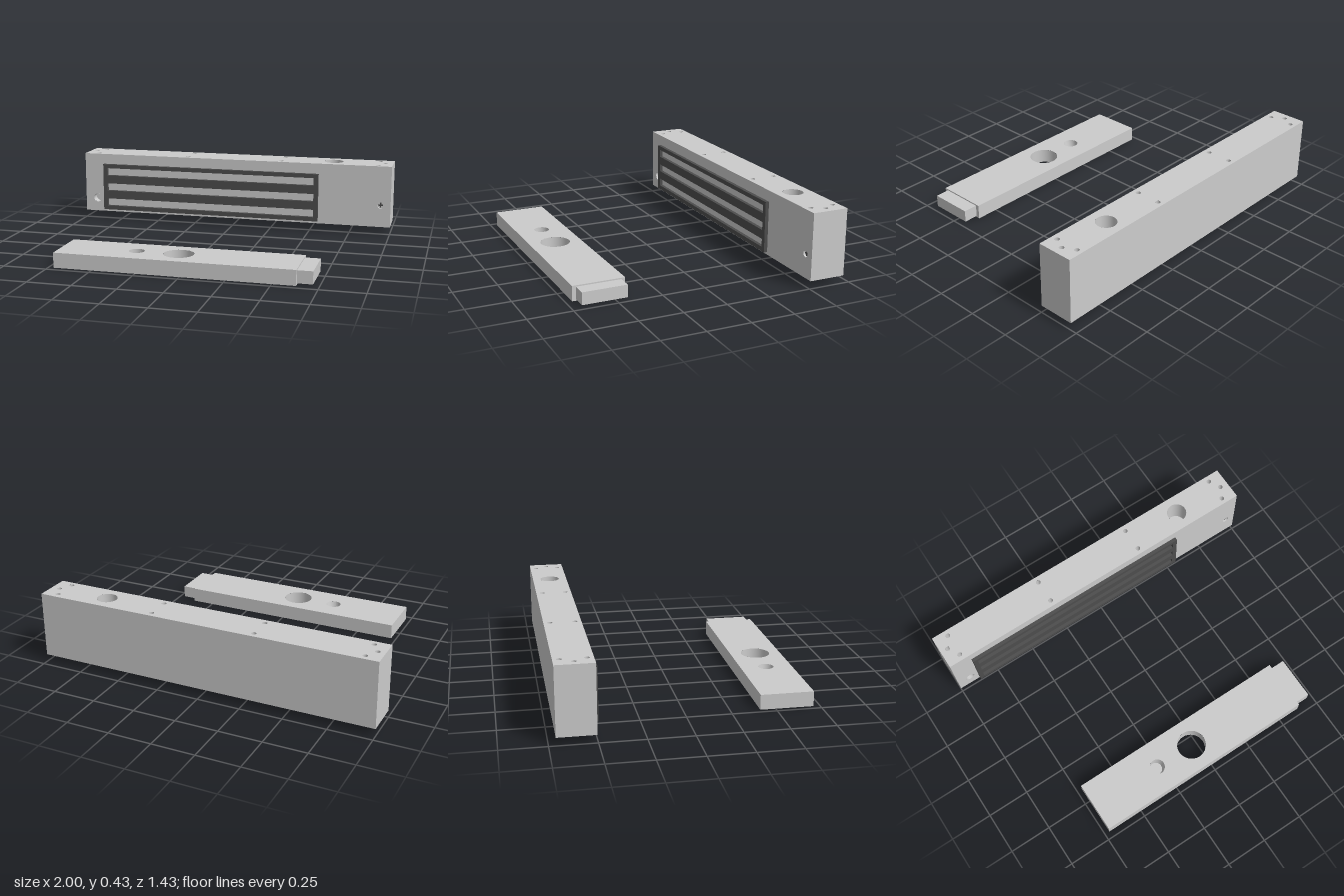
import * as THREE from 'three';

const grey = new THREE.MeshStandardMaterial({ color: 0xcccccc });
const greyInner = new THREE.MeshStandardMaterial({ color: 0xcccccc, side: THREE.DoubleSide });
const dark = new THREE.MeshStandardMaterial({ color: 0x4d4d4d });

function add(parent, name, geometry, material, x = 0, y = 0, z = 0) {
  const mesh = new THREE.Mesh(geometry, material);
  mesh.name = name;
  mesh.position.set(x, y, z);
  parent.add(mesh);
  return mesh;
}

// Rectangle outline, used for faces and windows
function rectangle(Type, x0, y0, x1, y1) {
  const r = new Type();
  r.moveTo(x0, y0).lineTo(x1, y0).lineTo(x1, y1).lineTo(x0, y1).closePath();
  return r;
}

// Flat face with round holes [x, y, radius], centred on its own middle
function face(w, h, holes = []) {
  const shape = rectangle(THREE.Shape, -w / 2, -h / 2, w / 2, h / 2);
  for (const [x, y, r] of holes) {
    shape.holes.push(new THREE.Path().absarc(x, y, r, 0, Math.PI * 2, true));
  }
  return new THREE.ShapeGeometry(shape, 32);
}

// Block made of six faces; holes are listed per face
function block(name, [w, h, d], [x, y, z], { top, bottom, front } = {}) {
  const g = new THREE.Group();
  g.name = name;
  g.position.set(x, y, z);
  const q = Math.PI / 2;
  add(g, 'frontFace', face(w, h, front), grey, 0, 0, d / 2);
  add(g, 'backFace', face(w, h), grey, 0, 0, -d / 2).rotation.y = Math.PI;
  add(g, 'topFace', face(w, d, top), grey, 0, h / 2, 0).rotation.x = -q;
  add(g, 'bottomFace', face(w, d, bottom), grey, 0, -h / 2, 0).rotation.x = q;
  add(g, 'leftEnd', face(d, h), grey, w / 2, 0, 0).rotation.y = q;
  add(g, 'rightEnd', face(d, h), grey, -w / 2, 0, 0).rotation.y = -q;
  return g;
}

// Hole lining that opens at its origin and runs down -y
function bore(name, r, depth, blind = true) {
  const g = new THREE.Group();
  g.name = name;
  add(g, 'boreWall', new THREE.CylinderGeometry(r, r, depth, 32, 1, true), greyInner, 0, -depth / 2, 0);
  if (blind) add(g, 'boreFloor', new THREE.CircleGeometry(r, 32), grey, 0, -depth, 0).rotation.x = -Math.PI / 2;
  return g;
}

function createMagnet() {
  const w = 2, h = 0.382, d = 0.209;
  // Top holes: four screw pairs, one more at each end, and the cable entry
  const top = [[-0.957, 0, 0.014], [0.95, 0, 0.014], [0.63, 0, 0.058]];
  for (const x of [-0.915, -0.305, 0.305, 0.913]) {
    for (const s of [-1, 1]) top.push([x, s * 0.069, 0.014]);
  }
  const front = [[-0.92, -0.104, 0.027], [0.938, -0.054, 0.02]];
  const g = block('magnetHousing', [w, h, d], [0, 0.235, -0.6085], { top, front });

  for (const [x, y, r] of top) {
    const b = bore(r > 0.03 ? 'cableEntry' : 'topScrewHole', r, r > 0.03 ? 0.15 : 0.06);
    b.position.set(x, h / 2, -y);
    g.add(b);
  }
  front.forEach(([x, y, r], i) => {
    const b = bore(i ? 'screwRecess' : 'frontHole', r, i ? 0.012 : 0.05);
    b.rotation.x = Math.PI / 2;
    b.position.set(x, y, d / 2);
    g.add(b);
  });

  // Cross on the recessed screw
  for (const a of [0, Math.PI / 2]) {
    add(g, 'screwCross', new THREE.BoxGeometry(0.03, 0.008, 0.004), dark, 0.938, -0.054, d / 2 - 0.01).rotation.z = a;
  }
  return g;
}

// Dark frame with three long windows showing the core behind
function createPoleFrame(parent) {
  const shape = rectangle(THREE.Shape, -0.87, 0.06, 0.55, 0.361);
  for (const y of [0.086, 0.187, 0.288]) {
    shape.holes.push(rectangle(THREE.Path, -0.843, y, 0.522, y + 0.048));
  }
  const geometry = new THREE.ExtrudeGeometry(shape, { depth: 0.021, bevelEnabled: false });
  add(parent, 'poleFrame', geometry, dark, 0, 0, -0.504);
}

function createArmature() {
  const h = 0.086;
  const through = [-0.001, 0, 0.085], blind = [-0.242, 0, 0.044];
  const g = block('armaturePlate', [1.35, h, 0.3], [-0.045, h / 2, 0.563], {
    top: [through, blind], bottom: [through],
  });
  const b = bore('mountingHole', through[2], h, false);
  b.position.set(through[0], h / 2, 0);
  g.add(b);

  // Blind pin hole, leaning slightly towards its floor
  const pin = new THREE.Group();
  pin.name = 'pinHole';
  pin.position.set(blind[0], h / 2, 0);
  const depth = 0.06, r = 0.037, lean = 0.006;
  const wall = new THREE.CylinderGeometry(blind[2], r, depth, 32, 1, true).translate(0, -depth / 2, 0);
  const p = wall.attributes.position;
  for (let i = 0; i < p.count; i++) {
    const shift = lean * p.getY(i) / depth;
    p.setX(i, p.getX(i) + shift);
    p.setZ(i, p.getZ(i) + shift);
  }
  wall.computeVertexNormals();
  add(pin, 'pinWall', wall, greyInner);
  add(pin, 'pinFloor', new THREE.CircleGeometry(r, 32), grey, -lean, -depth, -lean).rotation.x = -Math.PI / 2;
  g.add(pin);
  return g;
}

export function createModel() {
  const model = new THREE.Group();
  model.name = 'magneticDoorLock';
  model.add(createMagnet());
  createPoleFrame(model);
  model.add(createArmature());
  // Narrower tongue at the left end of the plate
  add(model, 'armatureTongue', new THREE.BoxGeometry(0.085, 0.071, 0.256), grey, 0.6725, 0.043, 0.563);
  return model;
}
